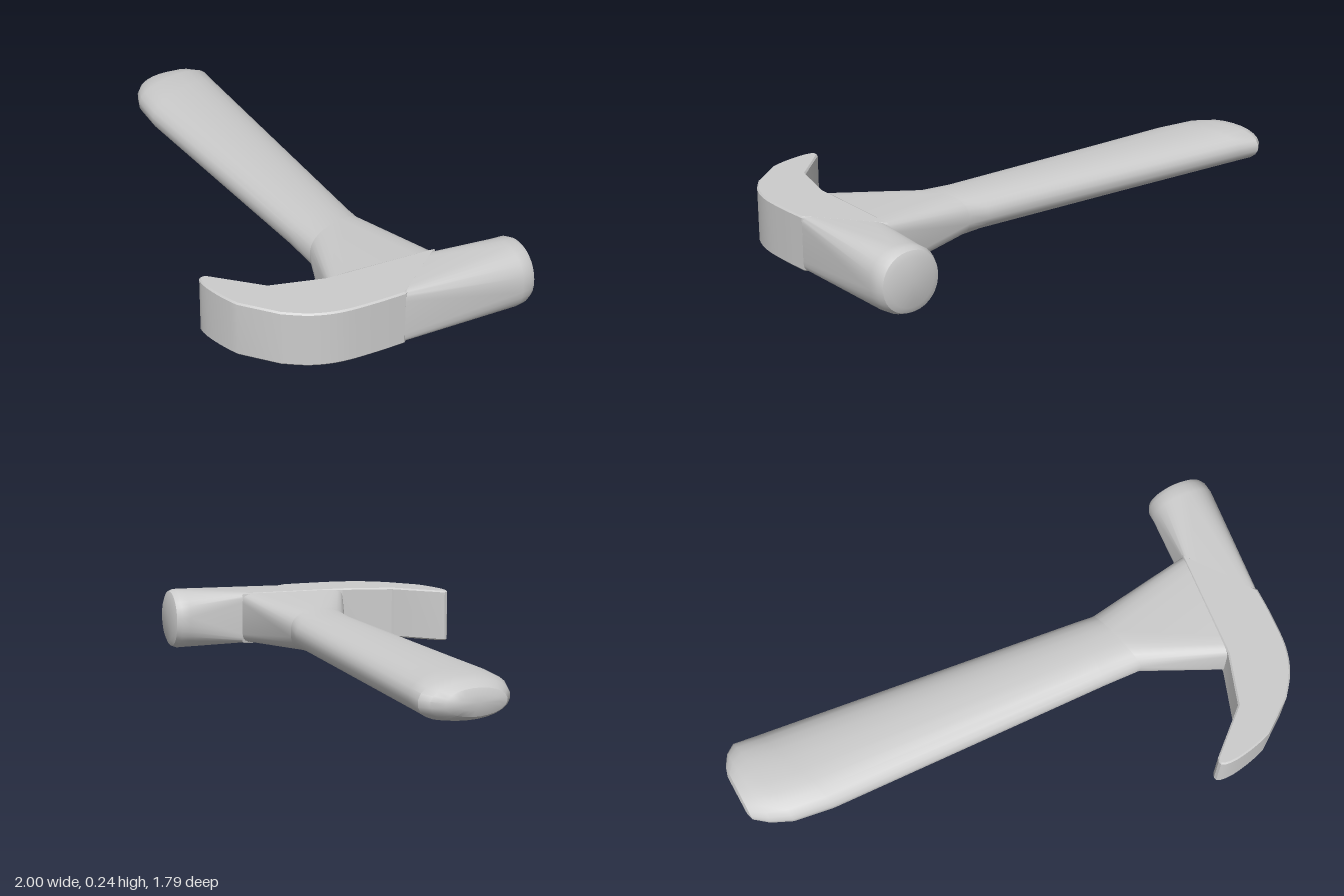
import * as THREE from 'three';
import { toCreasedNormals } from 'three/addons/utils/BufferGeometryUtils.js';

const MID = 0.122; // height of the plane of symmetry
const material = new THREE.MeshStandardMaterial({ color: 0xcccccc });

// Lofts superellipse sections: [edge x, edge z, opposite edge x, opposite edge z, half height, exponent]
function loft(sections, sides = 24) {
  const pos = [], index = [];
  const power = (v, n) => Math.sign(v) * Math.abs(v) ** (2 / n);
  for (const [ax, az, bx, bz, h, n] of sections) {
    for (let j = 0; j < sides; j++) {
      const t = ((j + 0.5) / sides) * Math.PI * 2;
      const c = power(Math.cos(t), n), s = power(Math.sin(t), n);
      pos.push((ax + bx + c * (ax - bx)) / 2, MID + h * s, (az + bz + c * (az - bz)) / 2);
    }
  }
  for (let i = 0; i < sections.length - 1; i++) {
    for (let j = 0; j < sides; j++) {
      const k = (j + 1) % sides;
      const a = i * sides + j, b = i * sides + k;
      index.push(a, b, b + sides, a, b + sides, a + sides);
    }
  }
  // end caps
  const last = (sections.length - 1) * sides;
  for (const [base, flip] of [[0, true], [last, false]]) {
    const [ax, az, bx, bz] = sections[base / sides];
    const centre = pos.length / 3;
    pos.push((ax + bx) / 2, MID, (az + bz) / 2);
    for (let j = 0; j < sides; j++) {
      const a = base + j, b = base + ((j + 1) % sides);
      if (flip) index.push(centre, b, a);
      else index.push(centre, a, b);
    }
  }
  const g = new THREE.BufferGeometry();
  g.setAttribute('position', new THREE.Float32BufferAttribute(pos, 3));
  g.setIndex(index);
  return toCreasedNormals(g, 0.6);
}

export function createModel() {
  const group = new THREE.Group();
  const add = (name, geometry) => {
    const mesh = new THREE.Mesh(geometry, material);
    mesh.name = name;
    group.add(mesh);
  };

  // Flattened grip with a rounded butt, narrowing towards the head
  add('handle', loft([
    [-0.9, -0.855, -0.99, -0.72, 0.025, 2],
    [-0.87, -0.88, -1.0, -0.69, 0.048, 2.1],
    [-0.825, -0.9, -0.98, -0.625, 0.066, 2.2],
    [-0.78, -0.9, -0.935, -0.55, 0.074, 2.3],
    [-0.71, -0.835, -0.82, -0.44, 0.075, 2.3],
    [0.23, 0.02, 0.07, 0.245, 0.077, 2.3],
    [0.29, 0.08, 0.19, 0.34, 0.083, 2.6],
  ]));

  // Neck flaring from the handle into a square socket
  add('neck', loft([
    [0.23, 0.02, 0.07, 0.245, 0.077, 2.3],
    [0.29, 0.08, 0.19, 0.34, 0.083, 2.6],
    [0.65, 0.29, 0.36, 0.62, 0.103, 9],
  ]));

  // Head body and curved claw, a flat plan shape with slightly eased edges
  const plan = new THREE.Shape();
  plan.moveTo(0.65, 0.29);
  plan.lineTo(0.65, 0.61);
  plan.splineThru([[0.58, 0.7], [0.49, 0.8], [0.4, 0.86], [0.3, 0.89]].map((p) => new THREE.Vector2(...p)));
  plan.lineTo(0.14, 0.89);
  plan.quadraticCurveTo(0.07, 0.87, 0, 0.83);
  plan.quadraticCurveTo(-0.08, 0.78, -0.03, 0.76);
  plan.lineTo(0.19, 0.74);
  plan.lineTo(0.36, 0.62);
  plan.closePath();
  const bevel = 0.006, height = 0.21;
  const claw = new THREE.ExtrudeGeometry(plan, {
    depth: height - 2 * bevel, bevelEnabled: true, bevelThickness: bevel,
    bevelSize: bevel, bevelOffset: -bevel, bevelSegments: 1, curveSegments: 5,
  });
  claw.rotateX(Math.PI / 2).translate(0, MID + height / 2 - bevel, 0);
  add('claw', toCreasedNormals(claw, 0.5));

  // Poll turning from the square body into a round, bevelled striking face
  add('strikingFace', loft([
    [0.64, 0.3, 0.64, 0.62, 0.105, 10],
    [0.65, 0.29, 0.65, 0.61, 0.105, 10],
    [0.785, 0.11, 0.975, 0.27, 0.12, 2.4],
    [0.805, 0.08, 0.995, 0.24, 0.121, 2.2],
    [0.825, 0.07, 1.0, 0.218, 0.113, 2.1],
    [0.85, 0.078, 0.99, 0.197, 0.092, 2],
  ], 32));

  return group;
}
